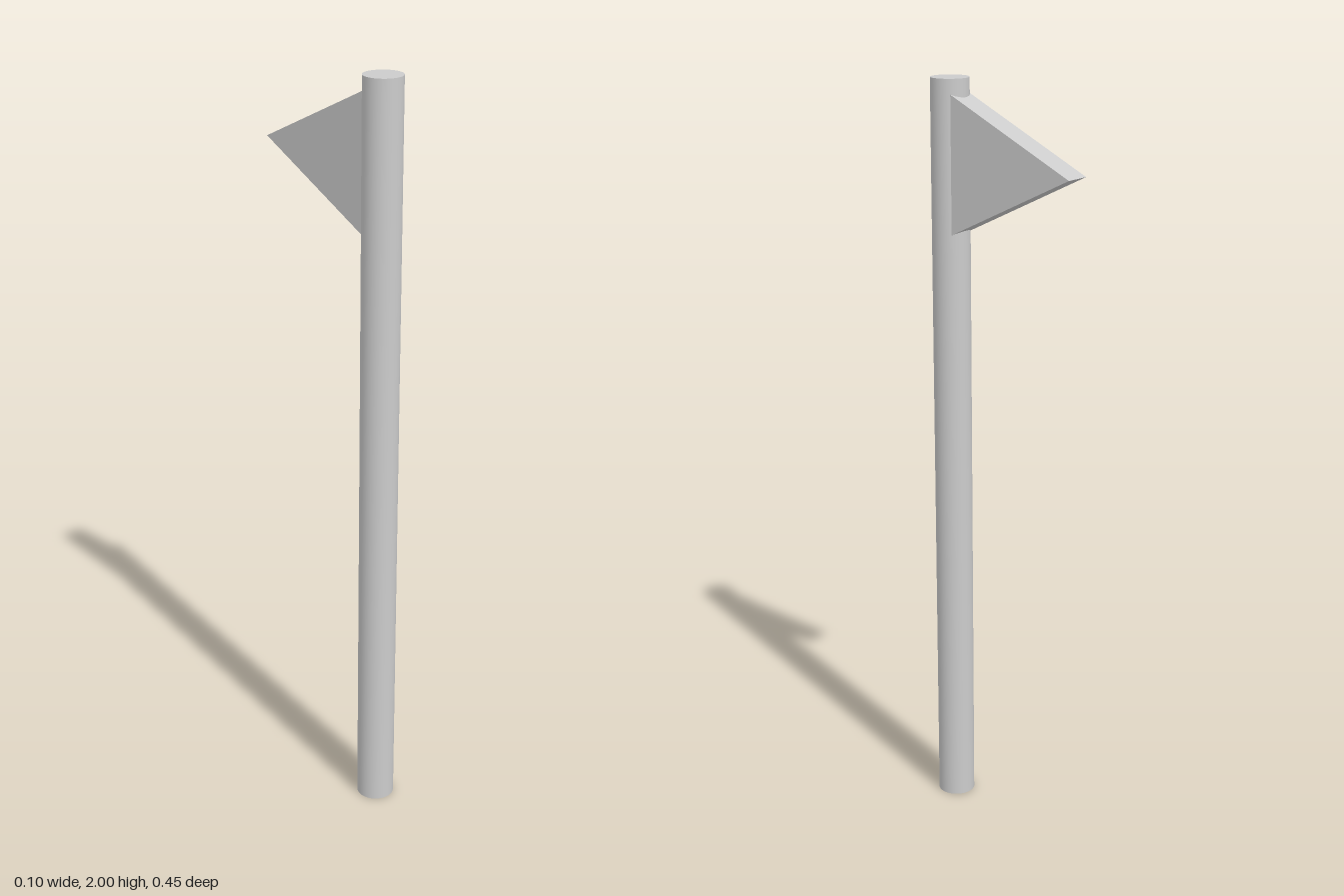
import * as THREE from 'three';

export function createModel() {
  const group = new THREE.Group();
  const grey = new THREE.MeshStandardMaterial({ color: 0xcccccc });
  const poleZ = 0.173;

  // Round pole standing on the ground
  const pole = new THREE.Mesh(new THREE.CylinderGeometry(0.05, 0.05, 2, 32), grey);
  pole.name = 'pole';
  pole.position.set(0, 1, poleZ);
  group.add(pole);

  // Thick triangular pennant, drawn in the z-y plane and extruded across x
  const outline = new THREE.Shape([
    new THREE.Vector2(-0.223, 1.785),
    new THREE.Vector2(0.142, 1.608),
    new THREE.Vector2(0.142, 1.962),
  ]);
  const geometry = new THREE.ExtrudeGeometry(outline, { depth: 0.072, bevelEnabled: false });
  geometry.rotateY(-Math.PI / 2);
  geometry.translate(0.038, 0, 0);
  const pennant = new THREE.Mesh(geometry, grey);
  pennant.name = 'pennant';
  group.add(pennant);

  return group;
}
